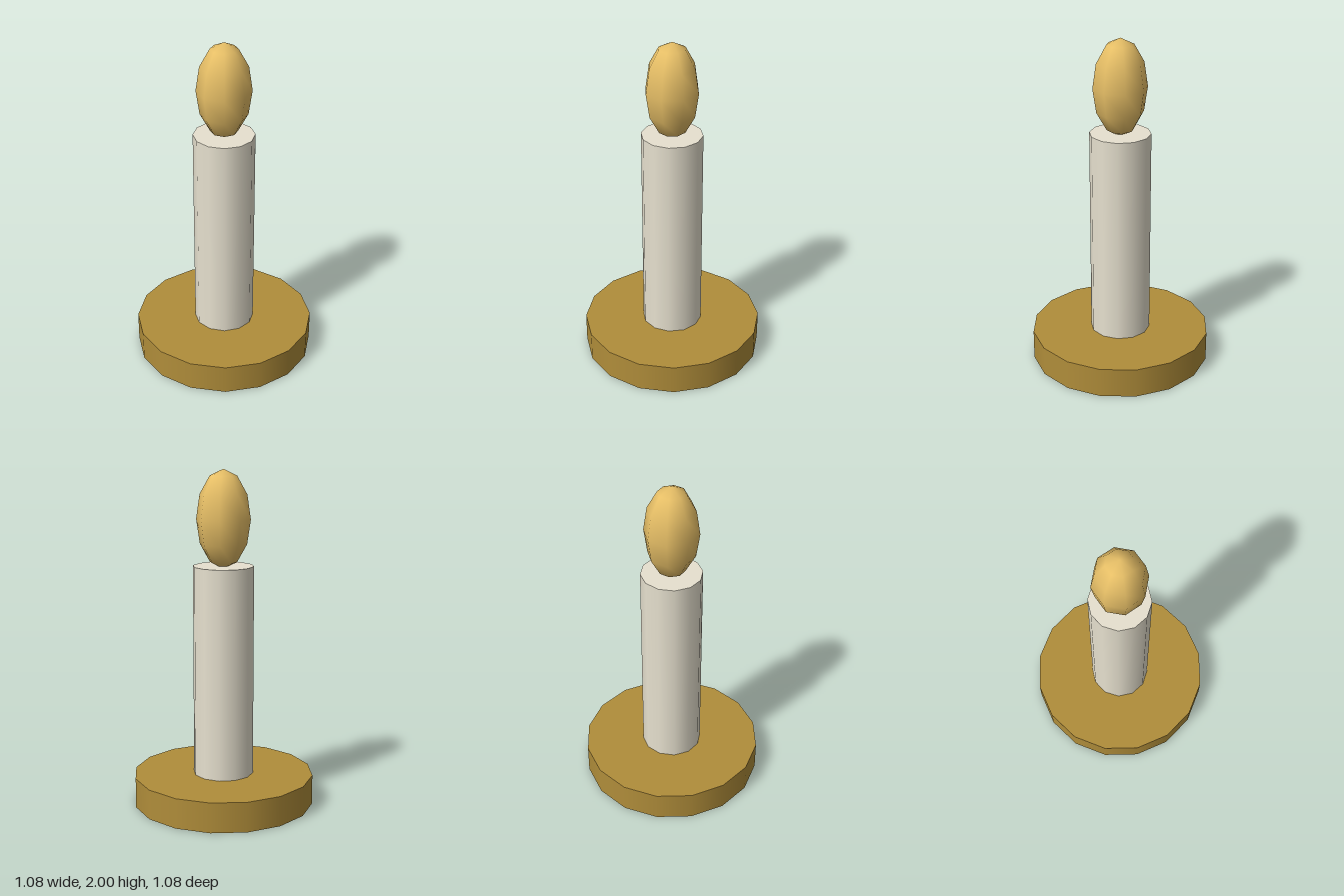
import * as THREE from 'three';

const material = (name, color) => {
  const m = new THREE.MeshStandardMaterial({ color });
  m.name = name;
  return m;
};

export function createModel() {
  const brass = material('brass', 0xb08d3a);
  const wax = material('wax', 0xe8e2d0);
  const glow = material('flame gold', 0xe8c067);

  const group = new THREE.Group();
  group.name = 'candle';
  const add = (name, geometry, mat, y) => {
    const mesh = new THREE.Mesh(geometry, mat);
    mesh.name = name;
    mesh.position.y = y;
    group.add(mesh);
    return mesh;
  };

  // Sixteen-sided holder disc
  add('holderBase', new THREE.CylinderGeometry(0.54, 0.54, 0.18, 16), brass, 0.09);

  // Twelve-sided wax column, seated just inside the holder
  const bottom = 0.02, top = 1.44;
  add('candleStick', new THREE.CylinderGeometry(0.18, 0.18, top - bottom, 12), wax, (top + bottom) / 2);

  // Low-poly smooth flame, a sphere stretched upward
  const flame = add('flame', new THREE.SphereGeometry(0.16, 8, 6), glow, 1.712);
  flame.scale.y = 1.8;

  return group;
}
